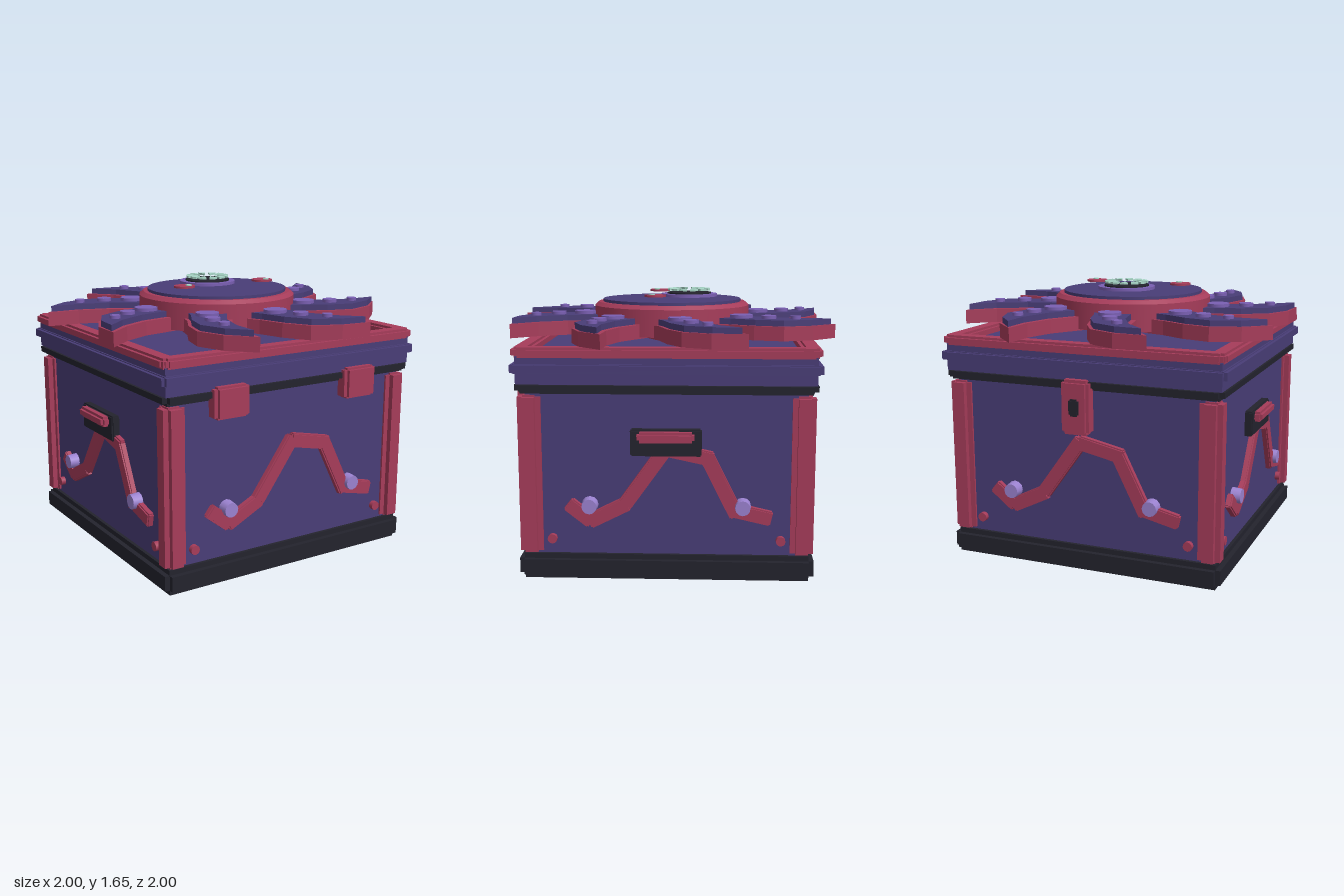
import * as THREE from 'three';
import { mergeGeometries } from 'three/addons/utils/BufferGeometryUtils.js';

const paint = (name, color) => {
  const m = new THREE.MeshStandardMaterial({ color });
  m.name = name;
  return m;
};

export function createModel() {
  const purple = paint('deep purple', 0x493d77);
  const red = paint('crimson', 0xa63c5a);
  const black = paint('near black', 0x23232d);
  const violet = paint('violet', 0x7a5fb3);
  const lavender = paint('lavender', 0x9b82d0);
  const mint = paint('pale mint', 0xa9d8c8);

  const model = new THREE.Group();
  model.name = 'tentacleChest';

  const add = (parent, name, geo, mat, x = 0, y = 0, z = 0) => {
    const m = new THREE.Mesh(geo, mat);
    m.name = name;
    m.position.set(x, y, z);
    parent.add(m);
    return m;
  };
  const box = (w, h, d) => new THREE.BoxGeometry(w, h, d);
  // Box with notched edges: three crossing boxes, each full size along one axis
  const stepBox = (w, h, d, sx, sy = sx, sz = sx) => mergeGeometries([
    box(w, h - 2 * sy, d - 2 * sz),
    box(w - 2 * sx, h, d - 2 * sz),
    box(w - 2 * sx, h - 2 * sy, d),
  ]);
  const disc = (r, h, n = 32, top = r) => new THREE.CylinderGeometry(top, r, h, n);
  // Flat outline of [x, z] points raised along y
  const slab = (pts, h) => new THREE.ExtrudeGeometry(
    new THREE.Shape(pts.map(([x, z]) => new THREE.Vector2(x, -z))),
    { depth: h, bevelEnabled: false }).rotateX(-Math.PI / 2);

  // Chest body
  add(model, 'base', stepBox(1.72, 0.15, 1.72, 0.03), black, 0, 0.075, 0);
  add(model, 'body', box(1.62, 1.0, 1.62), purple, 0, 0.61, 0);
  for (const sx of [-1, 1]) for (const sz of [-1, 1]) {
    add(model, 'cornerPost', stepBox(0.135, 0.935, 0.135, 0.032, 0.01, 0.032), red, sx * 0.787, 0.622, sz * 0.787);
  }

  // Lid
  add(model, 'lidRim', stepBox(1.73, 0.07, 1.73, 0.03, 0.018, 0.03), black, 0, 1.135, 0);
  add(model, 'lid', box(1.71, 0.16, 1.71), purple, 0, 1.235, 0);
  add(model, 'lidBand', stepBox(1.77, 0.055, 1.77, 0.02, 0.005, 0.02), purple, 0, 1.245, 0);
  for (const s of [-1, 1]) {
    add(model, 'lidFrameBar', stepBox(1.74, 0.06, 0.11, 0.03, 0.014, 0.02), red, 0, 1.338, s * 0.825);
    add(model, 'lidFrameBar', stepBox(0.11, 0.06, 1.74, 0.02, 0.014, 0.03), red, s * 0.825, 1.338, 0);
  }

  // Same crooked arm, gems and rivets on each of the four walls
  const arm = [
    [-0.57, 0.455, -0.43, 0.345], [-0.45, 0.345, -0.22, 0.46], [-0.24, 0.45, 0.01, 0.8],
    [-0.01, 0.785, 0.27, 0.725], [0.235, 0.74, 0.41, 0.39], [0.37, 0.43, 0.61, 0.375],
  ];
  for (let i = 0; i < 4; i++) {
    const wall = new THREE.Group();
    wall.name = 'wallDecoration';
    wall.rotation.y = i * Math.PI / 2;
    model.add(wall);
    arm.forEach(([x0, y0, x1, y1]) => {
      const len = Math.hypot(x1 - x0, y1 - y0);
      const seg = add(wall, 'armSegment', stepBox(len, 0.085, 0.05, 0.008), red, (x0 + x1) / 2, (y0 + y1) / 2, 0.822);
      seg.rotation.z = Math.atan2(y1 - y0, x1 - x0);
    });
    for (const s of [-1, 1]) {
      add(wall, 'gem', disc(0.05, 0.07, 12, 0.044).rotateX(Math.PI / 2), lavender, s * 0.443, 0.445, 0.835);
      add(wall, 'rivet', disc(0.028, 0.035, 12).rotateX(Math.PI / 2), red, s * 0.665, 0.24, 0.822);
    }
  }

  // Front clasps
  for (const s of [-1, 1]) {
    add(model, 'frontClasp', stepBox(0.23, 0.185, 0.1, 0.022, 0.012, 0.02), red, s * 0.453, 1.087, 0.855);
  }
  // Back lock plate with keyhole
  add(model, 'lockPlate', stepBox(0.17, 0.32, 0.1, 0.018), red, 0, 1.005, -0.86);
  add(model, 'keyhole', stepBox(0.06, 0.1, 0.03, 0.01, 0.01, 0.004), black, 0, 1.008, -0.907);

  // Side handles
  for (const s of [-1, 1]) {
    add(model, 'handlePlate', stepBox(0.06, 0.155, 0.41, 0.008), black, s * 0.828, 0.822, 0);
    add(model, 'handleBar', stepBox(0.07, 0.062, 0.33, 0.016), red, s * 0.87, 0.86, 0);
  }

  // Eight curved tentacles around the head
  const outline = [[0.3, -0.17], [0.47, -0.205], [0.636, -0.24], [0.807, -0.33], [0.957, -0.46],
    [0.952, -0.257], [0.872, -0.09], [0.717, 0], [0.556, 0.048], [0.4, 0.13]];
  const inner = [[0.3, -0.14], [0.47, -0.172], [0.645, -0.209], [0.822, -0.304], [0.95, -0.425],
    [0.935, -0.26], [0.857, -0.104], [0.708, -0.018], [0.55, 0.028], [0.4, 0.1]];
  const suckers = [[0.545, -0.07, 0.07], [0.706, -0.139, 0.045], [0.834, -0.235, 0.031]];
  const flesh = slab(outline, 0.085);
  const skin = slab(inner, 0.035);
  for (let i = 0; i < 8; i++) {
    const t = new THREE.Group();
    t.name = 'tentacle';
    t.rotation.y = i * Math.PI / 4;
    model.add(t);
    add(t, 'tentacleBase', flesh, red, 0, 1.373, 0);
    add(t, 'tentacleSkin', skin, purple, 0, 1.458, 0);
    for (const [x, z, r] of suckers) add(t, 'sucker', disc(r, 0.02, 20), violet, x, 1.502, z);
  }

  // Head
  add(model, 'headRim', disc(0.49, 0.165, 48), red, 0, 1.465, 0);
  add(model, 'headBevel', disc(0.49, 0.022, 48, 0.465), red, 0, 1.5585, 0);
  add(model, 'headTop', disc(0.437, 0.018, 48), purple, 0, 1.578, 0);

  // Mouth with a ring of teeth
  const mouth = new THREE.Group();
  mouth.name = 'mouth';
  mouth.position.z = -0.11;
  model.add(mouth);
  add(mouth, 'lips', disc(0.177, 0.018, 40), violet, 0, 1.608, 0);
  add(mouth, 'throat', disc(0.14, 0.008, 40), black, 0, 1.621, 0);
  const tooth = slab([[0.066, 0], [0.131, 0.025], [0.137, 0], [0.131, -0.025]], 0.012);
  for (let i = 0; i < 12; i++) {
    add(mouth, 'tooth', tooth, mint, 0, 1.637, 0).rotation.y = (i + 0.5) * Math.PI / 6;
  }

  // Eyes
  for (const s of [-1, 1]) {
    add(model, 'eye', disc(0.065, 0.012, 28), red, s * 0.287, 1.619, 0.09);
    add(model, 'eyeGlint', disc(0.019, 0.006, 14), mint, s * 0.287 + 0.018, 1.628, 0.11);
  }

  return model;
}
